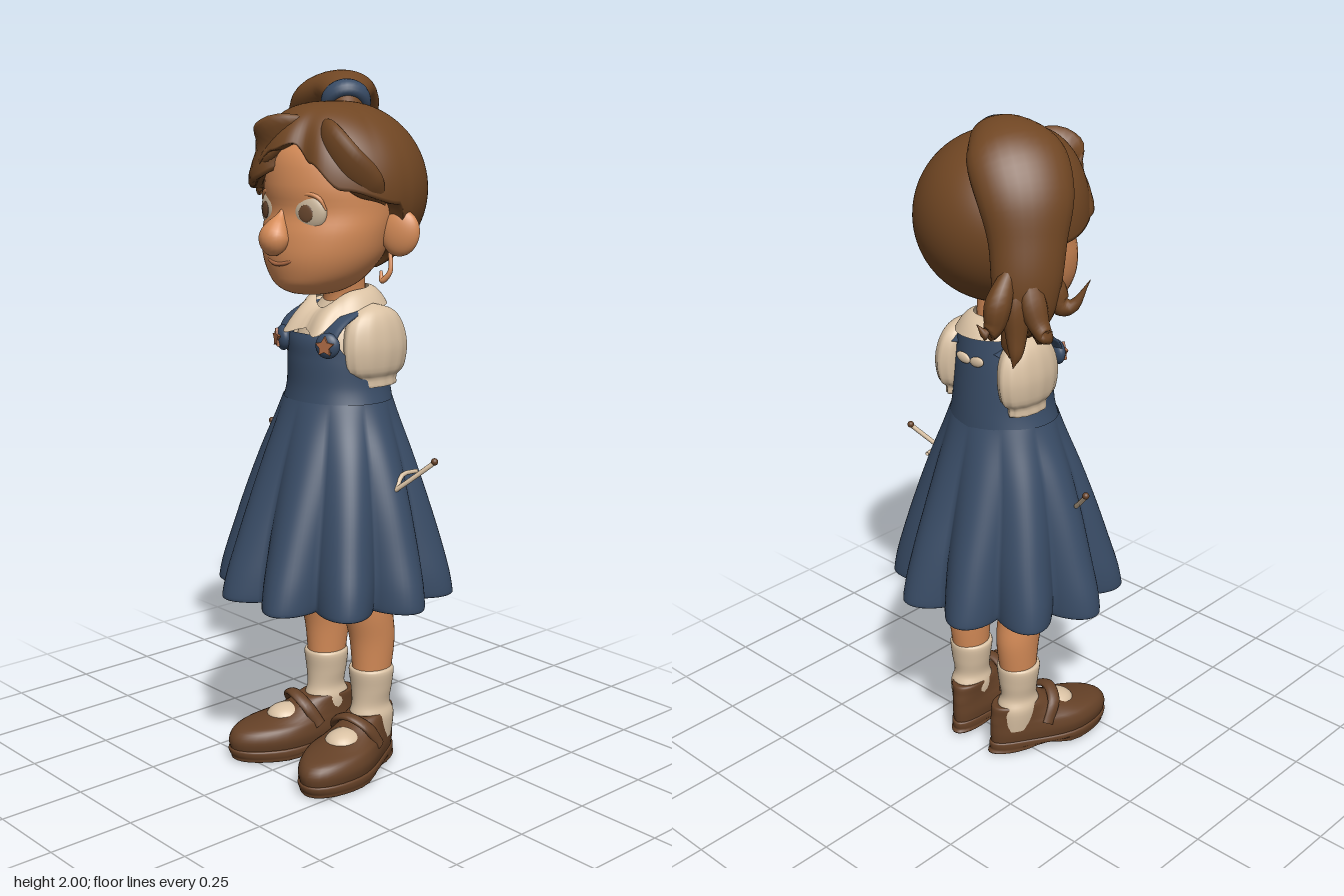
import * as THREE from 'three';

const mat = (name, color, side = THREE.FrontSide) => {
  const m = new THREE.MeshStandardMaterial({ color, side });
  m.name = name;
  return m;
};
const V = (x, y, z) => new THREE.Vector3(x, y, z);
const CX = 0.04; // body axis

// Closed tube-like surface: fn(v, a) gives a point, v runs along, a runs around
function grid(rows, seg, fn) {
  const pos = [], idx = [];
  for (let i = 0; i <= rows; i++)
    for (let j = 0; j < seg; j++) pos.push(...fn(i / rows, (j / seg) * Math.PI * 2).toArray());
  for (let i = 0; i < rows; i++)
    for (let j = 0; j < seg; j++) {
      const k = (j + 1) % seg, a = i * seg + j, b = i * seg + k, c = b + seg, d = a + seg;
      idx.push(a, b, c, a, c, d);
    }
  const g = new THREE.BufferGeometry();
  g.setAttribute('position', new THREE.Float32BufferAttribute(pos, 3));
  g.setIndex(idx);
  g.computeVertexNormals();
  return g;
}

// Stacked ellipses, bottom to top: [y, half width, back z, front z]
function loft(rows, { n = 24, seg = 36, vmap = (v) => v, shape = (p) => p } = {}) {
  const s1 = new THREE.SplineCurve(rows.map((r) => new THREE.Vector2(r[0], r[1])));
  const s2 = new THREE.SplineCurve(rows.map((r) => new THREE.Vector2(r[2], r[3])));
  return grid(n, seg, (v, a) => {
    const t = vmap(v, a), p = s1.getPoint(t), q = s2.getPoint(t);
    const rz = (q.y - q.x) / 2;
    return shape(V(p.y * Math.sin(a), p.x, (q.x + q.y) / 2 + rz * Math.cos(a)), a, v);
  });
}

// Elliptical strand along points [x, y, z, width, thickness]; side is the wide direction
function sweep(pts, side = V(1, 0, 0), n = 24, seg = 12) {
  const c = new THREE.CatmullRomCurve3(pts.map((p) => V(p[0], p[1], p[2])));
  const r = new THREE.SplineCurve(pts.map((p) => new THREE.Vector2(p[3], p[4] ?? p[3])));
  return grid(n, seg, (v, a) => {
    const p = c.getPoint(v), T = c.getTangent(v), w = r.getPoint(v);
    const N = side.clone().addScaledVector(T, -side.dot(T)).normalize();
    const B = T.clone().cross(N);
    return p.addScaledVector(N, w.x * Math.cos(a)).addScaledVector(B, w.y * Math.sin(a));
  });
}

// Piecewise smooth lookup in [[x, y], ...]
function lookup(table, x) {
  for (let i = 1; i < table.length; i++)
    if (x <= table[i][0]) {
      const [x0, y0] = table[i - 1], [x1, y1] = table[i];
      return y0 + (y1 - y0) * THREE.MathUtils.smoothstep(x, x0, x1);
    }
  return table[table.length - 1][1];
}
const degrees = (a) => { const d = (a * 180) / Math.PI; return d > 180 ? d - 360 : d; };

export function createModel() {
  const D = THREE.DoubleSide;
  const skin = mat('skin', 0xd68c58), hair = mat('hair', 0x704623, D), shoe = mat('shoe leather', 0x654127);
  const denim = mat('dress blue', 0x394c66, D), cream = mat('cream cloth', 0xdac2a4, D);
  const eyeWhite = mat('eye white', 0xc9b59a), iris = mat('iris', 0x6a482f), lip = mat('lip', 0xb06c46);
  const model = new THREE.Group();
  const add = (name, geo, m, x = 0, y = 0, z = 0, parent = model) => {
    const mesh = new THREE.Mesh(geo, m);
    mesh.name = name;
    mesh.position.set(x, y, z);
    parent.add(mesh);
    return mesh;
  };
  const ball = (name, m, x, y, z, rx, ry = rx, rz = rx, parent = model) => {
    const b = add(name, new THREE.SphereGeometry(1, 28, 20), m, x, y, z, parent);
    b.scale.set(rx, ry, rz);
    return b;
  };

  // Legs, socks and shoes
  for (const s of [-1, 1]) {
    const x = CX + s * 0.1;
    add('leg', loft([[0.26, 0.05, -0.07, 0.045], [0.38, 0.06, -0.085, 0.055], [0.47, 0.066, -0.075, 0.078],
      [0.56, 0.066, -0.07, 0.1], [0.8, 0.075, -0.07, 0.12]]), skin, x);
    add('sock', loft([[0.08, 0.05, -0.08, 0.06], [0.15, 0.058, -0.085, 0.06], [0.19, 0.05, -0.07, 0.05],
      [0.24, 0.058, -0.075, 0.05], [0.295, 0.064, -0.078, 0.055], [0.3, 0.045, -0.06, 0.04]]), cream, x);
    const foot = new THREE.Group();
    foot.name = 'shoe';
    foot.position.set(x, 0, 0);
    foot.rotation.y = s * 0.24;
    model.add(foot);
    // Wider toe and a raised arch before the heel
    const footShape = (p) => {
      p.x *= 0.82 + 0.42 * THREE.MathUtils.smoothstep(p.z, -0.05, 0.18);
      if (p.y < 0.02) p.y += 0.018 * Math.exp(-(((p.z - 0.05) / 0.05) ** 2));
      return p;
    };
    add('sole', loft([[0, 0, 0.09, 0.1], [0, 0.07, -0.1, 0.28], [0.015, 0.08, -0.11, 0.305], [0.035, 0.081, -0.112, 0.312],
      [0.04, 0.074, -0.104, 0.3]], { shape: footShape }), shoe, 0, 0, 0, foot);
    add('upper', loft([[0.03, 0.074, -0.105, 0.305], [0.065, 0.081, -0.108, 0.31], [0.095, 0.077, -0.108, 0.285],
      [0.112, 0.07, -0.108, 0.21], [0.135, 0.065, -0.105, 0.13], [0.165, 0.062, -0.1, 0.07], [0.16, 0.045, -0.07, 0.05]],
      { shape: footShape }), shoe, 0, 0, 0, foot);
    ball('instep', cream, 0, 0.108, 0.125, 0.055, 0.038, 0.062, foot);
    add('strap', sweep([[-0.075, 0.09, 0.05, 0.018, 0.01], [-0.055, 0.15, 0.085, 0.02, 0.01], [0, 0.175, 0.1, 0.02, 0.01],
      [0.055, 0.15, 0.085, 0.02, 0.01], [0.075, 0.09, 0.05, 0.018, 0.01]], V(0, 0, 1)), shoe, 0, 0, 0, foot);
  }

  // Pleated skirt with ten rounded folds
  add('skirt', loft([[0.57, 0.33, -0.27, 0.355], [0.537, 0.352, -0.296, 0.384], [0.6, 0.344, -0.284, 0.37],
    [0.7, 0.315, -0.255, 0.335], [0.82, 0.278, -0.213, 0.29], [0.94, 0.234, -0.171, 0.243], [1.04, 0.19, -0.136, 0.202],
    [1.1, 0.166, -0.115, 0.178]], {
    n: 32, seg: 160,
    shape: (p, a, v) => {
      const fold = 1 - 0.3 * Math.pow(1 - v, 1.1) * (1 - Math.pow(Math.abs(Math.sin(5 * a)), 0.95));
      p.x *= fold;
      p.z = 0.043 + (p.z - 0.043) * fold;
      return p;
    },
  }), denim, CX);

  // Bodice: high at front bib and back, cut low under the arms
  const neckline = [[0, 0.75], [38, 0.74], [65, 0.5], [105, 0.5], [128, 0.96], [180, 0.93]];
  add('bodice', loft([[1.08, 0.168, -0.118, 0.18], [1.14, 0.15, -0.115, 0.172], [1.22, 0.143, -0.11, 0.172],
    [1.29, 0.135, -0.105, 0.165], [1.37, 0.115, -0.095, 0.1]],
    { seg: 72, vmap: (v, a) => v * lookup(neckline, Math.abs(degrees(a))) }), denim, CX);
  add('shirt', loft([[1.12, 0.13, -0.09, 0.15], [1.22, 0.132, -0.09, 0.15], [1.29, 0.125, -0.09, 0.13],
    [1.34, 0.1, -0.08, 0.09], [1.39, 0.055, -0.06, 0.055]]), cream, CX);
  add('neck', loft([[1.33, 0.06, -0.06, 0.07], [1.4, 0.058, -0.055, 0.072], [1.48, 0.07, -0.05, 0.12]]), skin, CX);
  for (const s of [-1, 1]) {
    add('shoulderStrap', sweep([[s * 0.088, 1.25, 0.158, 0.03, 0.008], [s * 0.094, 1.31, 0.125, 0.032, 0.008],
      [s * 0.094, 1.347, 0.05, 0.03, 0.008], [s * 0.09, 1.35, -0.03, 0.03, 0.008], [s * 0.08, 1.31, -0.08, 0.028, 0.008]]), denim, CX);
    const button = ball('button', denim, CX + s * 0.095, 1.265, 0.152, 0.036, 0.036, 0.02);
    button.rotation.y = s * 0.4;
    // Five-pointed button centre
    const star = new THREE.Shape();
    for (let i = 0; i < 10; i++) {
      const r = i % 2 ? 0.015 : 0.028, a = (i * Math.PI) / 5;
      star[i ? 'lineTo' : 'moveTo'](r * Math.sin(a), r * Math.cos(a));
    }
    const st = add('buttonStar', new THREE.ExtrudeGeometry(star, { depth: 0.008, bevelEnabled: false }), lip,
      CX + s * 0.101, 1.265, 0.166);
    st.rotation.y = s * 0.4;
    // Puffed sleeve with softly gathered cloth
    add('sleeve', loft([[1.165, 0.02, -0.03, 0.03], [1.14, 0.034, -0.07, 0.07], [1.165, 0.034, -0.075, 0.075],
      [1.19, 0.047, -0.1, 0.1], [1.25, 0.054, -0.11, 0.108], [1.31, 0.05, -0.098, 0.095], [1.35, 0.034, -0.065, 0.06],
      [1.37, 0, 0, 0]], { seg: 48, shape: (p, a, v) => {
      const g = 1 + 0.04 * Math.cos(12 * a) * (1 - v);
      p.x = p.x * g - s * 0.08 * Math.max(0, p.y - 1.25);
      p.z *= g;
      return p;
    } }), cream, CX + s * 0.122);
    ball('backBow', cream, CX + s * 0.026, 1.29, -0.106, 0.026, 0.015, 0.008).rotation.z = s * 0.2;
    // Thin peg with a round tip beside the skirt
    add('peg', sweep([[s * 0.262, 0.87, 0.045, 0.007], [s * 0.31, 0.915, 0.012, 0.007], [s * 0.35, 0.955, -0.018, 0.007]],
      V(0, 0, 1), 4, 8), cream, 0.033);
    ball('pegTip', shoe, 0.033 + s * 0.35, 0.957, -0.018, 0.01);
  }
  add('pegHook', sweep([[0.298, 0.87, 0.045, 0.007], [0.285, 0.905, 0.01, 0.007], [0.276, 0.905, -0.055, 0.006]],
    V(1, 0, 0), 6, 8), cream);
  // Pointed collar, split at the front
  const collarDrop = [[0, 0], [5, 0.01], [26, 0.05], [50, 0.0], [180, 0]];
  add('collar', grid(8, 96, (v, a) => {
    const drop = lookup(collarDrop, Math.abs(degrees(a))), o = 1 - v;
    const r = 0.066 + (0.05 + drop * 0.8) * o, front = Math.max(0, Math.cos(a));
    return V(r * Math.sin(a), 1.405 - (0.05 + drop * 0.6) * o * o - 0.045 * front ** 3 - 0.005 * Math.cos(a),
      r * 1.1 * Math.cos(a) + 0.008 + 0.012 * front);
  }), cream, CX);

  // Head
  const HX = 0.045;
  add('head', loft([[1.398, 0, 0.12, 0.13], [1.403, 0.06, 0.06, 0.19], [1.425, 0.105, 0.0, 0.23], [1.46, 0.142, -0.04, 0.246],
    [1.51, 0.17, -0.08, 0.255], [1.57, 0.184, -0.1, 0.25], [1.63, 0.187, -0.12, 0.236], [1.7, 0.185, -0.12, 0.243],
    [1.79, 0.16, -0.1, 0.225], [1.86, 0.09, -0.05, 0.15], [1.88, 0, 0.04, 0.05]], { n: 40, seg: 48 }), skin, HX);
  add('nose', sweep([[0, 1.645, 0.226, 0.002], [0, 1.615, 0.238, 0.014], [0, 1.588, 0.252, 0.034, 0.03],
    [0, 1.558, 0.262, 0.046, 0.04], [0, 1.528, 0.256, 0.034, 0.028], [0, 1.516, 0.245, 0]], V(1, 0, 0), 24, 20), skin, HX - 0.002);
  add('mouth', sweep([[-0.075, 1.517, 0.228, 0.002], [-0.04, 1.497, 0.246, 0.005], [0, 1.489, 0.253, 0.006],
    [0.04, 1.497, 0.246, 0.005], [0.075, 1.517, 0.228, 0.002]], V(0, 1, 0)), lip, HX);
  for (const s of [-1, 1]) {
    const eye = new THREE.Group();
    eye.name = 'eye';
    eye.position.set(HX + s * 0.083, 1.63, 0.206);
    eye.rotation.y = s * 0.32;
    model.add(eye);
    ball('eyeball', eyeWhite, 0, 0, 0, 0.05, 0.05, 0.02, eye);
    ball('iris', iris, -s * 0.004, -0.002, 0.018, 0.022, 0.023, 0.004, eye);
    add('eyelid', sweep([[-0.05, 0.008, 0.002, 0.003], [-0.032, 0.038, 0.008, 0.006], [0, 0.049, 0.01, 0.007],
      [0.032, 0.038, 0.008, 0.006], [0.05, 0.008, 0.002, 0.003]], V(0, 0, 1)), skin, 0, 0, 0, eye);
    add('eyebrow', sweep([[s * 0.045, 1.71, 0.233, 0.003], [s * 0.085, 1.73, 0.214, 0.012, 0.004],
      [s * 0.13, 1.71, 0.178, 0.003]], V(0, 1, 0)), lip, HX);
    const ear = ball('ear', skin, CX + 0.005 + s * 0.202, 1.57, -0.012, 0.054, 0.064, 0.026);
    ear.rotation.set(0, s * 0.5, -s * 0.2);
  }
  add('earring', sweep([[0.22, 1.52, 0, 0.006], [0.23, 1.465, 0.01, 0.007], [0.21, 1.44, 0.02, 0.008],
    [0.2, 1.465, 0.015, 0.004]], V(0, 0, 1)), skin);

  // Hair cap with a shaped hairline, a fuller front and a parting
  const hairline = [[-180, 1.46], [-120, 1.465], [-103, 1.52], [-90, 1.65], [-45, 1.68], [-25, 1.73], [-5, 1.79], [12, 1.81],
    [28, 1.76], [50, 1.69], [90, 1.65], [103, 1.52], [120, 1.465], [180, 1.46]];
  add('hairCap', grid(40, 120, (v, a) => {
    const d = degrees(a), front = Math.max(0, Math.cos(a + 0.25));
    const low = Math.acos(THREE.MathUtils.clamp((lookup(hairline, d) - 1.68) / 0.238, -0.95, 1));
    const t = low * (1 - Math.max(0, v - 0.05) / 0.95);
    const tuck = v < 0.02 ? 0.76 : v < 0.04 ? 0.95 : 1;
    const part = 1 - 0.13 * Math.exp(-(((d - 20) / 9) ** 2)) * Math.sin(t) ** 2;
    const full = t < Math.PI / 2 ? 1 - 0.42 * front : 1;
    const r = tuck * part * Math.pow(Math.max(0, Math.sin(t)), full);
    return V(0.24 * r * Math.sin(a), 1.68 + 0.238 * Math.cos(t), 0.02 + (0.243 + 0.008 * front) * r * Math.cos(a));
  }), hair, CX);
  // Swept fringe locks
  const fringe = [
    [[0.08, 1.87, 0.14, 0.01], [0.02, 1.835, 0.215, 0.06, 0.02], [-0.05, 1.77, 0.226, 0.065, 0.02],
      [-0.13, 1.715, 0.172, 0.045, 0.02], [-0.165, 1.67, 0.12, 0.002]],
    [[0.11, 1.87, 0.14, 0.01], [0.165, 1.83, 0.17, 0.045, 0.022], [0.22, 1.76, 0.155, 0.055, 0.022],
      [0.25, 1.7, 0.105, 0.045, 0.018], [0.262, 1.65, 0.06, 0.002]],
    [[0.05, 1.83, 0.205, 0.01], [-0.01, 1.775, 0.235, 0.02], [-0.07, 1.72, 0.217, 0.016], [-0.115, 1.69, 0.185, 0.011],
      [-0.12, 1.668, 0.18, 0.008], [-0.105, 1.672, 0.192, 0.002]],
  ];
  for (const f of fringe) add('fringeLock', sweep(f, V(0.5, 1, 0)), hair);

  // Ponytail with hair band and curled ends
  const wide = V(0.57, 0, -0.82);
  add('ponytail', sweep([[0, 1.87, -0.04, 0.04, 0.04], [-0.04, 1.915, -0.07, 0.055, 0.045], [-0.1, 1.945, -0.115, 0.09, 0.055],
    [-0.175, 1.915, -0.155, 0.128, 0.07], [-0.235, 1.83, -0.182, 0.126, 0.07], [-0.26, 1.72, -0.2, 0.102, 0.064],
    [-0.27, 1.61, -0.215, 0.09, 0.06], [-0.265, 1.52, -0.22, 0.07, 0.045], [-0.25, 1.45, -0.22, 0, 0]], wide, 48, 28), hair);
  const band = add('hairBand', new THREE.TorusGeometry(0.048, 0.02, 14, 32), denim, -0.04, 1.912, -0.07);
  band.quaternion.setFromUnitVectors(V(0, 0, 1), V(-0.66, 0.6, -0.45).normalize());
  band.scale.set(1.05, 1.05, 1.5);
  const ends = [[-0.11, -0.02, 0.1, -0.03], [-0.09, 0.1, 0.2, -0.11], [0.02, -0.12, 0.11, 0.04], [-0.02, -0.05, -0.02, 0.01],
    [0.06, 0.08, 0, 0.05], [0.05, -0.01, -0.02, -0.04], [0.01, 0.08, -0.01, 0.08]];
  ends.forEach(([dx, dz, lift, bend]) => {
    const x = -0.265, z = -0.22;
    add('curledEnd', sweep([[x + dx * 0.2, 1.66, z + dz * 0.4, 0.02], [x + dx * 0.4, 1.57 + lift * 0.1, z + dz * 0.7, 0.036],
      [x + dx * 0.65, 1.49 + lift * 0.3, z + dz * 0.8, 0.028], [x + dx * 0.9, 1.45 + lift * 0.5, z + dz * 0.95, 0.018],
      [x + dx + bend * 0.3, 1.425 + lift, z + dz * 1.15, 0.001]], V(0.57, 0.1, -0.82), 18, 10), hair);
  });
  return model;
}
